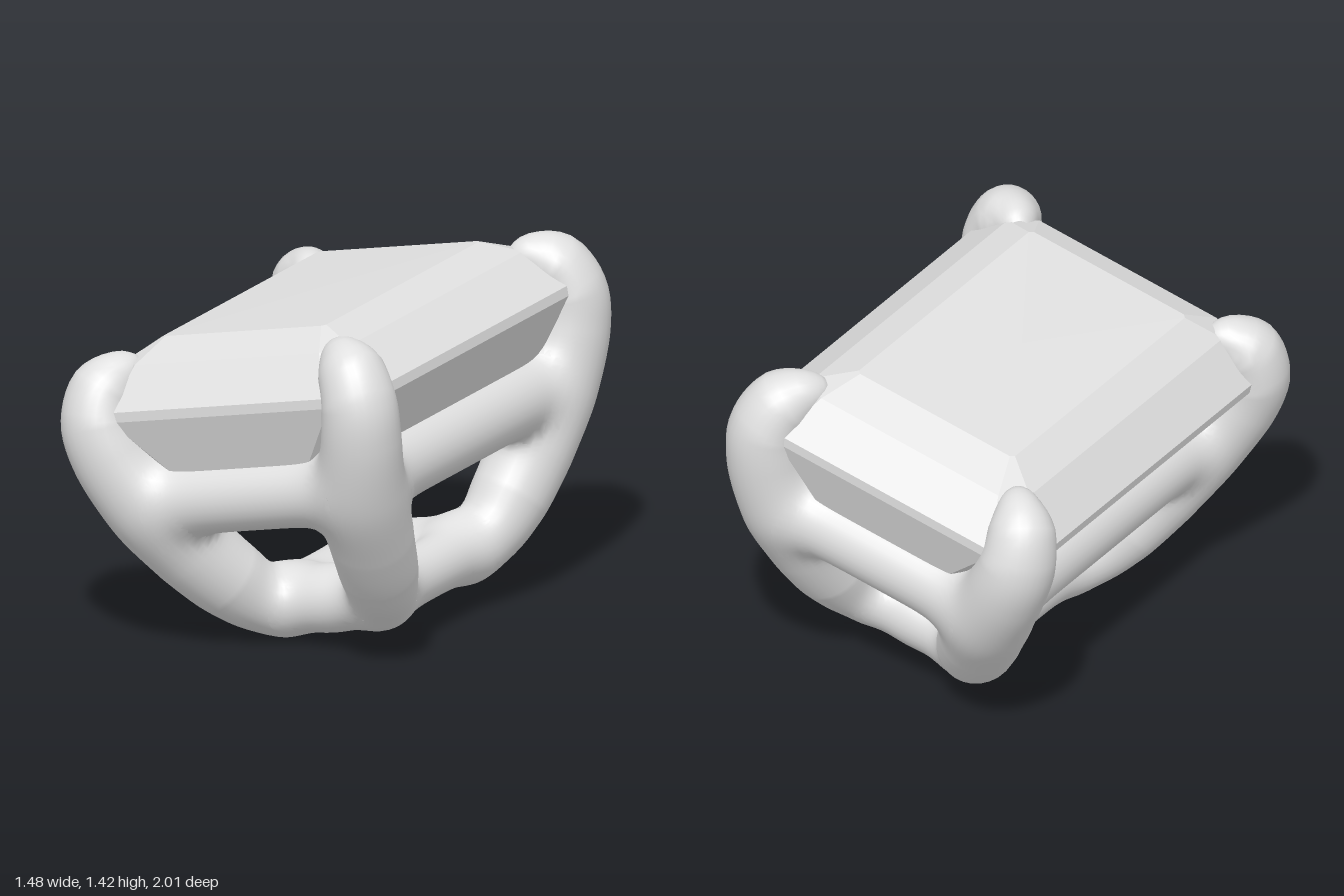
import * as THREE from 'three';

const grey = new THREE.MeshStandardMaterial({ color: 0xe0e0e0 });
grey.name = 'silver grey';

function part(name, geometry) {
  const mesh = new THREE.Mesh(geometry, grey);
  mesh.name = name;
  return mesh;
}

// Round bar through points [x, y, z, radius], sampled along its length, with domed ends
function makeBar(name, points, dome, steps) {
  const curve = new THREE.CatmullRomCurve3(points.map(p => new THREE.Vector3(p[0], p[1], p[2])));
  const centres = [], radii = [];
  for (let i = 0; i <= steps; i++) {
    const u = i / steps;
    const k = curve.getUtoTmapping(u) * (points.length - 1);
    const a = Math.min(Math.floor(k), points.length - 2);
    const r = THREE.MathUtils.lerp(points[a][3], points[a + 1][3], k - a);
    const e = 1 - Math.min(1, Math.min(u, 1 - u) / dome);
    centres.push(curve.getPointAt(u));
    radii.push(r * Math.sqrt(Math.max(1e-6, 1 - e * e)));
  }
  return { name, curve, steps, centres, radii };
}

// Distance from a point to a bar's surface
const seg = new THREE.Vector3(), rel = new THREE.Vector3();
function barDistance(p, { centres, radii, steps }) {
  let best = Infinity;
  for (let i = 0; i < steps; i++) {
    seg.subVectors(centres[i + 1], centres[i]);
    rel.subVectors(p, centres[i]);
    const t = THREE.MathUtils.clamp(rel.dot(seg) / seg.lengthSq(), 0, 1);
    best = Math.min(best, rel.addScaledVector(seg, -t).length() - THREE.MathUtils.lerp(radii[i], radii[i + 1], t));
  }
  return best;
}

// Soft union of all bars, so that joints swell into fillets
const SOFT = 0.034;
function blend(p, bars) {
  let sum = 0;
  for (const b of bars) sum += Math.exp(-barDistance(p, b) / SOFT);
  return -SOFT * Math.log(sum);
}

// Tube whose vertices are pushed out to the soft union, with normals from its slope
function barGeometry({ curve, steps, centres, radii }, bars, sides = 28) {
  const geo = new THREE.TubeGeometry(curve, steps, 1, sides);
  const pos = geo.attributes.position;
  const dir = new THREE.Vector3(), p = new THREE.Vector3();
  const q = new THREE.Vector3(), normal = new THREE.Vector3();
  const probes = [[1, -1, -1], [-1, -1, 1], [-1, 1, -1], [1, 1, 1]].map(a => new THREE.Vector3(...a));
  for (let n = 0; n < pos.count; n++) {
    const i = Math.floor(n / (sides + 1));
    dir.fromBufferAttribute(pos, n).sub(centres[i]).normalize();
    let r = radii[i];
    const limit = r + 0.09;
    for (let pass = 0; pass < 4; pass++) {
      p.copy(centres[i]).addScaledVector(dir, r);
      r = Math.min(limit, r + Math.max(0, -blend(p, bars)));
    }
    p.copy(centres[i]).addScaledVector(dir, r);
    pos.setXYZ(n, p.x, p.y, p.z);
    normal.set(0, 0, 0);
    for (const o of probes) normal.addScaledVector(o, blend(q.copy(p).addScaledVector(o, 0.003), bars));
    normal.normalize();
    geo.attributes.normal.setXYZ(n, normal.x, normal.y, normal.z);
  }
  return geo;
}

// Faceted stone from cut-corner rectangles: [half width, half depth, corner cut, height]
function gemGeometry() {
  const levels = [
    [0, 0, 0, 0.414],
    [0.5, 0.84, 0.2, 0.765],
    [0.665, 0.925, 0.17, 1.015],
    [0.665, 0.925, 0.17, 1.055],
    [0.51, 0.79, 0.09, 1.21],
    [0.37, 0.63, 0.015, 1.28],
    [0, 0, 0, 1.285],
  ];
  const rings = levels.map(([w, d, c, y]) => [
    [w, y, -d + c], [w, y, d - c], [w - c, y, d], [-w + c, y, d],
    [-w, y, d - c], [-w, y, -d + c], [-w + c, y, -d], [w - c, y, -d],
  ]);
  const out = [];
  for (let k = 0; k < rings.length - 1; k++) {
    for (let i = 0; i < 8; i++) {
      const j = (i + 1) % 8;
      const a = rings[k][i], b = rings[k][j], c = rings[k + 1][j], d = rings[k + 1][i];
      if (k > 0) out.push(...a, ...d, ...b);
      if (k < rings.length - 2) out.push(...d, ...c, ...b);
    }
  }
  const geo = new THREE.BufferGeometry();
  geo.setAttribute('position', new THREE.Float32BufferAttribute(out, 3));
  geo.computeVertexNormals();
  return geo;
}

export function createModel() {
  const model = new THREE.Group();
  model.name = 'gemSetting';

  // The whole setting leans to one side
  const tilted = new THREE.Group();
  tilted.name = 'tiltedSetting';
  tilted.position.set(0.207, 0.06, 0);
  tilted.rotation.z = THREE.MathUtils.degToRad(12);
  model.add(tilted);

  tilted.add(part('gem', gemGeometry()));

  // Four prongs curling from the base over the stone's corners to a narrow tip
  const prong = [
    [0.14, 0.13, 0.24, 0.1],
    [0.28, 0.16, 0.42, 0.128],
    [0.345, 0.275, 0.53, 0.158],
    [0.41, 0.43, 0.645, 0.168],
    [0.49, 0.64, 0.775, 0.166],
    [0.57, 0.86, 0.842, 0.158],
    [0.595, 1.0, 0.85, 0.15],
    [0.57, 1.115, 0.82, 0.135],
    [0.51, 1.175, 0.765, 0.088],
    [0.455, 1.185, 0.7, 0.045],
  ];
  const bars = [];
  for (const sx of [-1, 1]) {
    for (const sz of [-1, 1]) {
      bars.push(makeBar('prong', prong.map(([x, y, z, r]) => [x * sx, y, z * sz, r]), 0.04, 64));
    }
  }

  // Upper and lower rails joining the prongs
  const rails = [
    { name: 'upperRail', x: 0.45, z: 0.765, y: 0.66, r: 0.146 },
    { name: 'lowerRail', x: 0.22, z: 0.36, y: 0.12, r: 0.112 },
  ];
  for (const { name, x, z, y, r } of rails) {
    for (const s of [-1, 1]) {
      bars.push(makeBar(name, [-1, 0, 1].map(t => [t * x, y, s * z, r]), 0.06, 48));
      bars.push(makeBar(name, [-1, 0, 1].map(t => [s * x, y, t * z, r]), 0.06, 48));
    }
  }

  // Solid foot closing the bottom
  bars.push(makeBar('foot', [-0.36, 0, 0.36].map(z => [0, 0.115, z, 0.112]), 0.06, 48));

  for (const bar of bars) tilted.add(part(bar.name, barGeometry(bar, bars)));

  return model;
}
